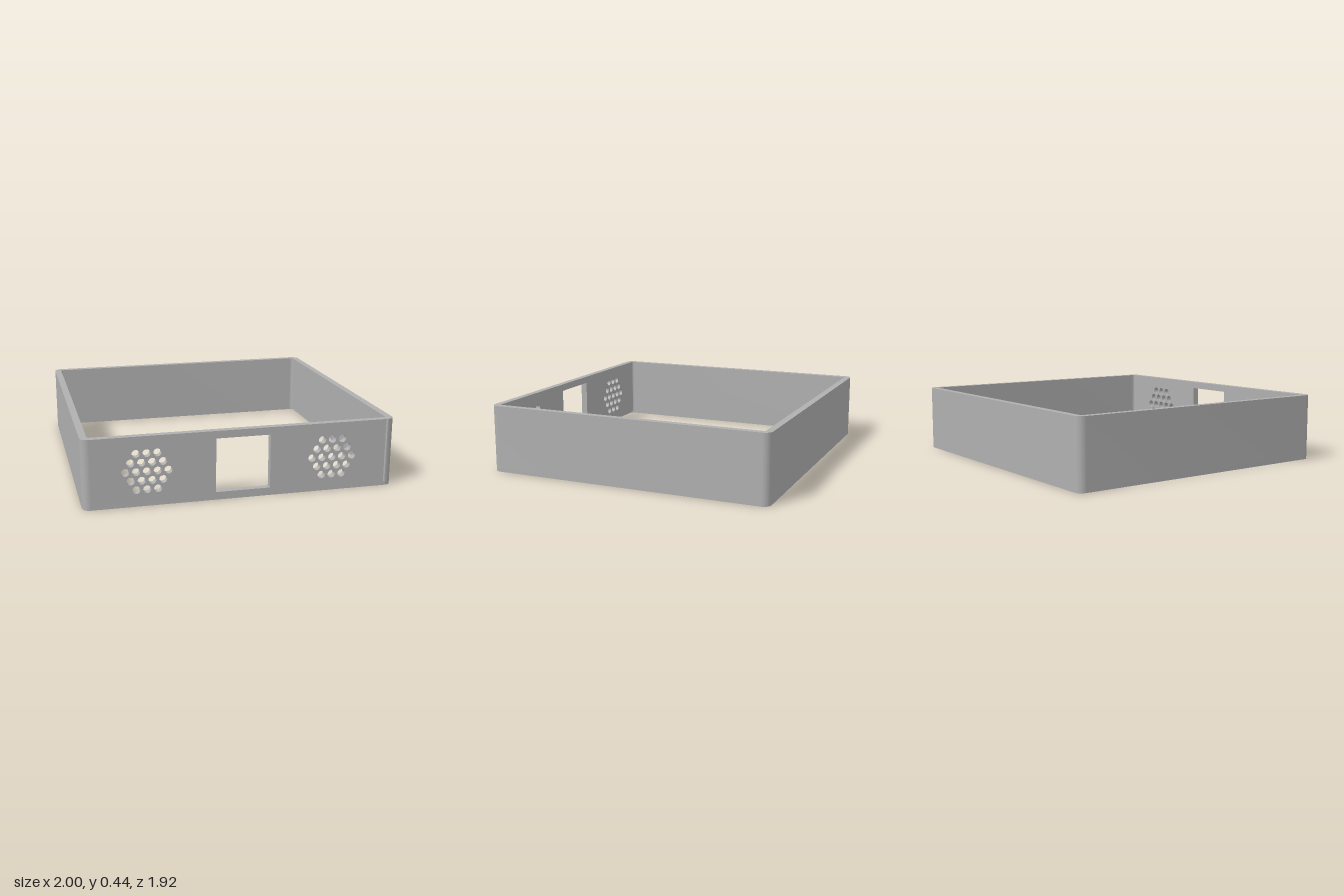
import * as THREE from 'three';
import { toCreasedNormals } from 'three/addons/utils/BufferGeometryUtils.js';

const HX = 1, HZ = 0.96, HEIGHT = 0.445; // outer half sizes and height
const WALL = 0.045, LIP = 0.022, REBATE = 0.025; // wall, bottom lip thickness, rebate height
const R_OUT = 0.05, R_IN = 0.015;
const JOIN = HX - WALL - R_IN; // where the front panel meets the corners
const MID_Y = 0.222;

// Rounded corners from front right round the back to front left (or reversed)
function addCorners(path, hx, hy, r, reverse = false) {
  const signs = [[1, -1], [1, 1], [-1, 1], [-1, -1]];
  for (let k = 0; k < 4; k++) {
    const i = reverse ? 3 - k : k;
    const a = (i - 1) * Math.PI / 2, b = a + Math.PI / 2;
    const [sx, sy] = signs[i];
    path.absarc(sx * (hx - r), sy * (hy - r), r, reverse ? b : a, reverse ? a : b, reverse);
  }
  return path;
}

function extrude(shape, depth) {
  return new THREE.ExtrudeGeometry(shape, { depth, bevelEnabled: false, curveSegments: 10 });
}

export function createModel() {
  const group = new THREE.Group();
  const grey = new THREE.MeshStandardMaterial({ color: 0xb0b0b0 });
  grey.name = 'plain grey';
  const add = (name, geometry) => {
    const mesh = new THREE.Mesh(toCreasedNormals(geometry, 0.6), grey);
    mesh.name = name;
    group.add(mesh);
  };

  // Back, side walls and corners, open at the front
  const walls = new THREE.Shape();
  walls.moveTo(JOIN, -HZ);
  addCorners(walls, HX, HZ, R_OUT);
  walls.lineTo(-JOIN, -HZ);
  addCorners(walls, HX - WALL, HZ - WALL, R_IN, true);
  walls.closePath();
  add('sideAndBackWalls', extrude(walls, HEIGHT - REBATE).rotateX(-Math.PI / 2).translate(0, REBATE, 0));

  // Thinner lip under the walls, leaving a rebate inside
  const lip = addCorners(new THREE.Shape(), HX, HZ, R_OUT);
  lip.closePath();
  const opening = addCorners(new THREE.Path(), HX - LIP, HZ - LIP, 0.03, true);
  opening.closePath();
  lip.holes.push(opening);
  add('bottomLip', extrude(lip, REBATE).rotateX(-Math.PI / 2));

  // Front panel with a square window and two hexagonal grilles
  const rect = (path, x0, y0, x1, y1) => path.moveTo(x0, y0).lineTo(x1, y0).lineTo(x1, y1).lineTo(x0, y1).closePath();
  const panel = new THREE.Shape();
  rect(panel, -JOIN, REBATE, JOIN, HEIGHT);
  const windowHole = new THREE.Path();
  rect(windowHole, -0.175, 0.05, 0.173, 0.397);
  panel.holes.push(windowHole);
  const pitch = 0.0665, rowStep = 0.0576;
  for (const cx of [-0.606, 0.58]) {
    for (let row = -2; row <= 2; row++) {
      const count = 5 - Math.abs(row);
      for (let i = 0; i < count; i++) {
        const hole = new THREE.Path();
        hole.absarc(cx + (i - (count - 1) / 2) * pitch, MID_Y + row * rowStep, 0.025, 0, Math.PI * 2, true);
        panel.holes.push(hole);
      }
    }
  }
  add('frontPanel', extrude(panel, WALL).translate(0, 0, HZ - WALL));

  return group;
}
